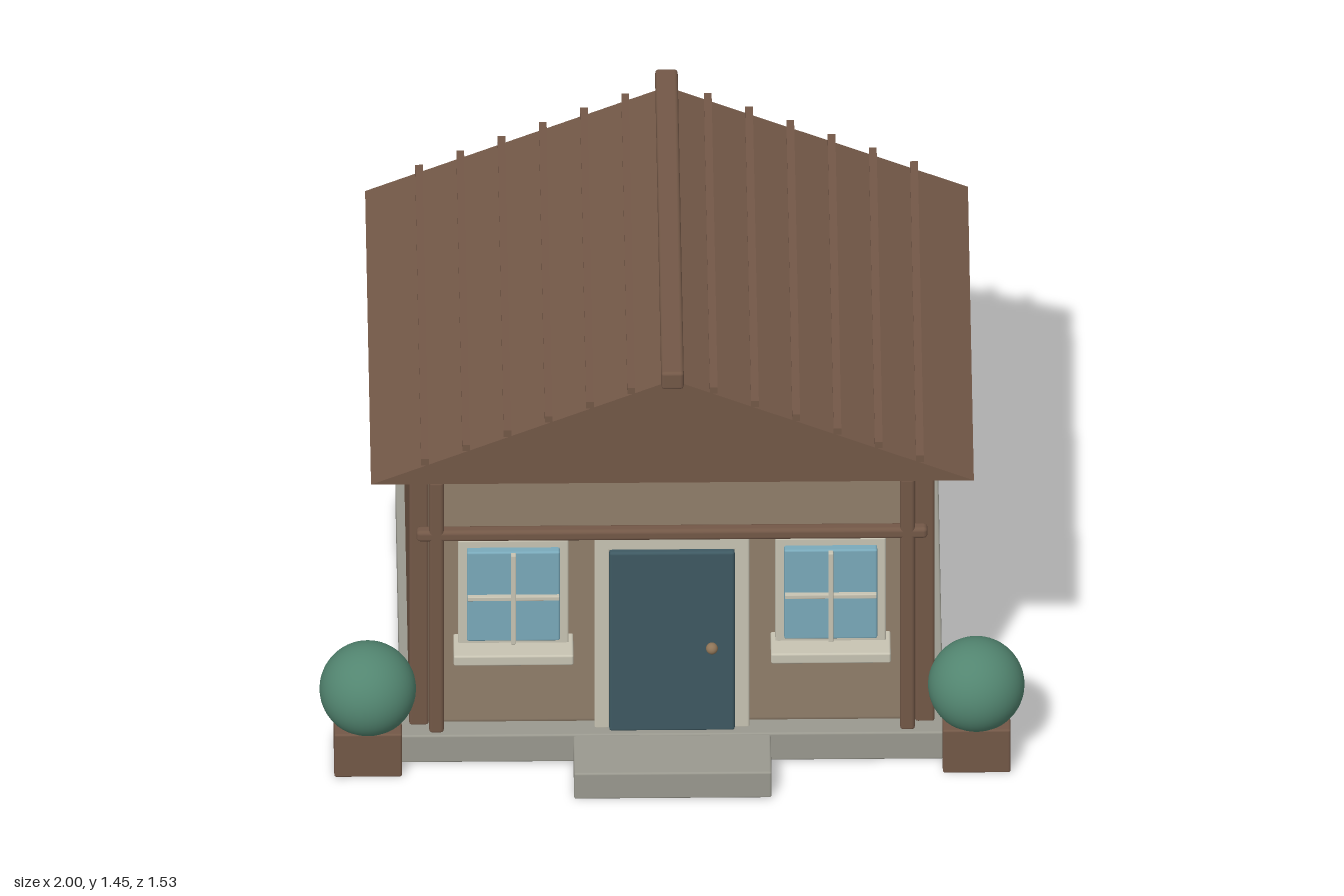
import * as THREE from 'three';
import { RoundedBoxGeometry } from 'three/addons/geometries/RoundedBoxGeometry.js';

function material(name, color) {
  const m = new THREE.MeshStandardMaterial({ color });
  m.name = name;
  return m;
}

export function createModel() {
  const house = new THREE.Group();
  house.name = 'house';
  const wood = material('brown wood', 0x735847);
  const plaster = material('beige plaster', 0x917f6b);
  const stone = material('grey stone', 0x9a998f);
  const cream = material('cream trim', 0xc8c4b3);
  const doorBlue = material('dark blue door', 0x3e5962);
  const glass = material('blue glass', 0x7aaabb);
  const leaf = material('green leaf', 0x528570);
  const brass = material('dull brass', 0x8f7558);

  function add(parent, name, geometry, mat, x = 0, y = 0, z = 0) {
    const mesh = new THREE.Mesh(geometry, mat);
    mesh.name = name;
    mesh.position.set(x, y, z);
    parent.add(mesh);
    return mesh;
  }

  // Box given by its limits on each axis, with softened edges
  function box(parent, name, mat, [x0, x1], [y0, y1], [z0, z1], r = 0.006) {
    const w = x1 - x0, h = y1 - y0, d = z1 - z0;
    const geometry = r ? new RoundedBoxGeometry(w, h, d, 2, r) : new THREE.BoxGeometry(w, h, d);
    return add(parent, name, geometry, mat, (x0 + x1) / 2, (y0 + y1) / 2, (z0 + z1) / 2);
  }

  // Foundation, doorstep and plastered body
  box(house, 'foundation', stone, [-0.77, 0.77], [0, 0.095], [-0.655, 0.585]);
  box(house, 'doorstep', stone, [-0.28, 0.28], [0, 0.09], [0.5, 0.765]);
  box(house, 'plasterBody', plaster, [-0.71, 0.71], [0.08, 1.0], [-0.59, 0.52], 0.025);

  // Side walls, front posts and cross beam
  for (const s of [-1, 1]) {
    box(house, 'sideWall', wood, [s * 0.7175 - 0.0275, s * 0.7175 + 0.0275], [0.09, 1.01], [-0.6, 0.53], 0.008);
    box(house, 'frontPost', wood, [s * 0.668 - 0.021, s * 0.668 + 0.021], [0.09, 0.975], [0.5, 0.57], 0.01);
  }
  box(house, 'crossBeam', wood, [-0.725, 0.725], [0.763, 0.8], [0.533, 0.57], 0.012);

  // Gabled roof
  const gable = new THREE.Shape();
  gable.moveTo(-0.855, 1.04).lineTo(0.855, 1.04).lineTo(0, 1.4).closePath();
  add(house, 'roof', new THREE.ExtrudeGeometry(gable, { depth: 1.405, bevelEnabled: false }), wood, 0, 0, -0.74);
  box(house, 'ridgeBeam', wood, [-0.032, 0.032], [1.385, 1.445], [-0.768, 0.693], 0.01);
  for (const s of [-1, 1]) {
    for (let i = 1; i <= 6; i++) {
      const x = s * i * 0.117, y = 1.414 - i * 0.0492;
      box(house, 'roofBatten', wood, [x - 0.011, x + 0.011], [y - 0.011, y + 0.011], [-0.742, 0.667], 0);
    }
  }

  // Door with its frame and knob
  const door = new THREE.Group();
  door.name = 'door';
  house.add(door);
  for (const s of [-1, 1]) {
    box(door, 'doorJamb', cream, [s * 0.198 - 0.022, s * 0.198 + 0.022], [0.09, 0.762], [0.5, 0.55]);
  }
  box(door, 'doorHead', cream, [-0.22, 0.22], [0.715, 0.762], [0.5, 0.55]);
  box(door, 'doorLeaf', doorBlue, [-0.178, 0.178], [0.092, 0.72], [0.5, 0.567], 0.008);
  add(door, 'doorKnob', new THREE.SphereGeometry(0.017, 20, 14), brass, 0.113, 0.39, 0.577);

  // Windows with frame, glass, glazing bars and sill
  for (const s of [-1, 1]) {
    const win = new THREE.Group();
    win.name = 'window';
    win.position.x = s * 0.45;
    house.add(win);
    box(win, 'windowFrame', cream, [-0.157, 0.157], [0.395, 0.765], [0.5, 0.563]);
    box(win, 'windowGlass', glass, [-0.132, 0.132], [0.427, 0.74], [0.54, 0.587]);
    box(win, 'verticalBar', cream, [-0.007, 0.007], [0.427, 0.738], [0.58, 0.602], 0.002);
    box(win, 'horizontalBar', cream, [-0.13, 0.13], [0.578, 0.592], [0.58, 0.6], 0.002);
    box(win, 'windowSill', cream, [-0.17, 0.17], [0.37, 0.405], [0.51, 0.628]);
  }

  // Round bushes in square planters
  for (const s of [-1, 1]) {
    const planter = new THREE.Group();
    planter.name = 'planter';
    planter.position.set(s * 0.863, 0, 0.557);
    house.add(planter);
    box(planter, 'planterBox', wood, [-0.096, 0.096], [0, 0.15], [-0.096, 0.096]);
    add(planter, 'bush', new THREE.SphereGeometry(0.137, 40, 28), leaf, 0, 0.243, 0);
  }

  return house;
}
